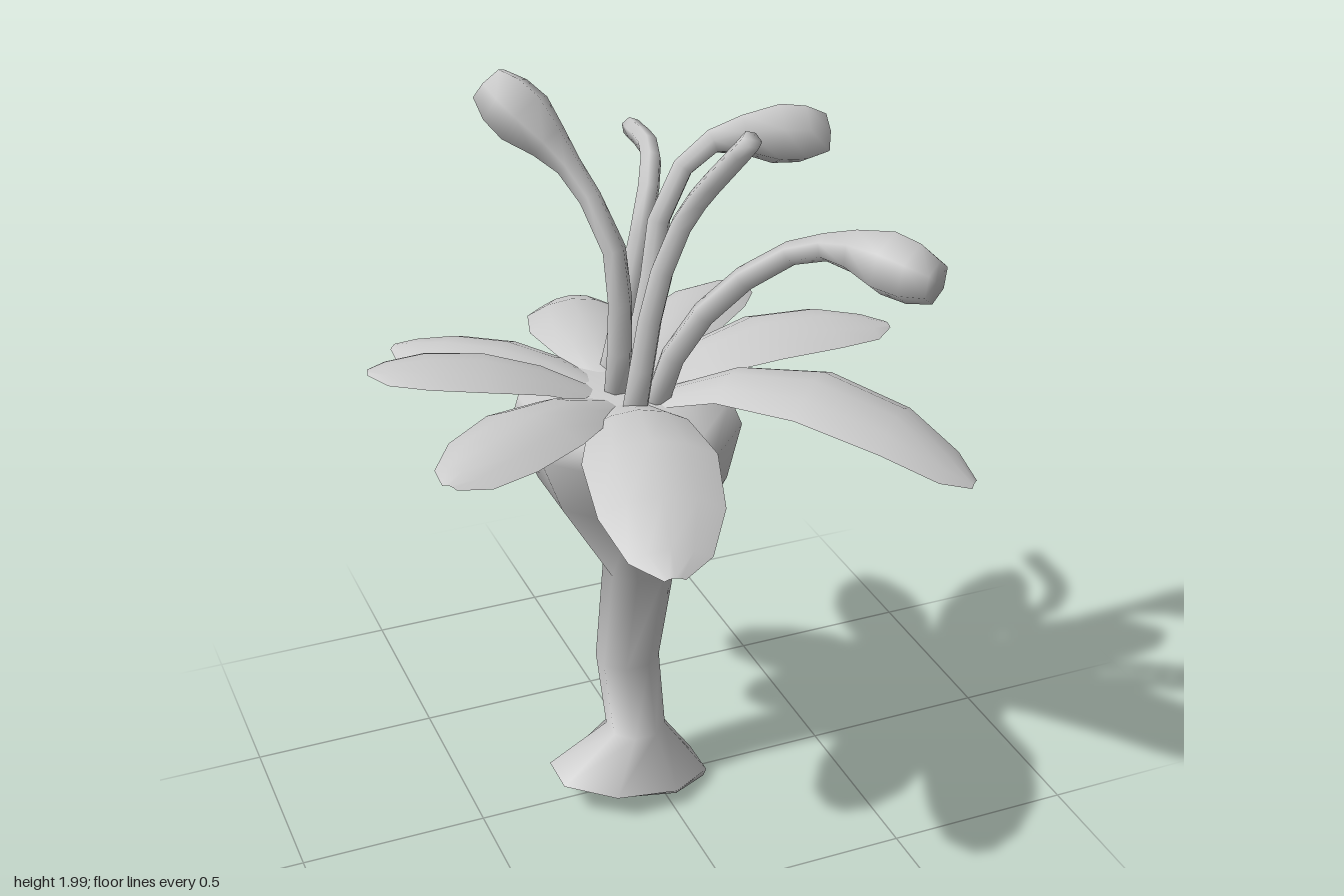
import * as THREE from 'three';

const grey = new THREE.MeshStandardMaterial({ color: 0xcccccc });
const greyThin = new THREE.MeshStandardMaterial({ color: 0xcccccc, side: THREE.DoubleSide });
const V = (x, y, z) => new THREE.Vector3(x, y, z);

// Smooth surface through rows of points; closed rows wrap round
function skin(rows, closed) {
  const n = rows[0].length, index = [];
  for (let i = 0; i < rows.length - 1; i++) {
    for (let j = 0; j < (closed ? n : n - 1); j++) {
      const k = (j + 1) % n;
      const a = i * n + j, b = i * n + k, c = a + n, d = b + n;
      index.push(a, b, d, a, d, c);
    }
  }
  const g = new THREE.BufferGeometry().setFromPoints(rows.flat());
  g.setIndex(index);
  g.computeVertexNormals();
  return g;
}

// Ring of points round a centre, spanned by two directions
const ring = (c, u, v, sides, turn = 0) => Array.from({ length: sides }, (_, j) => {
  const a = ((j + turn) / sides) * Math.PI * 2;
  return c.clone().addScaledVector(u, Math.cos(a)).addScaledVector(v, Math.sin(a));
});

// Eight-sided body from [centre x, y, centre z, radius x, radius z, slope]
function body(sections) {
  const rows = sections.map(([x, y, z, rx, rz, slope = 0]) =>
    ring(V(x, y, z), V(rx, slope * rx, 0).multiplyScalar(1.08), V(0, 0, -rz * 1.08), 8, 0.5));
  const cap = ([x, y, z]) => Array(8).fill(V(x, y, z));
  return skin([cap(sections[0]), ...rows, cap(sections.at(-1))], true);
}

// Stamen along a curve, tapering plainly or swelling into a bulb near the tip
function stamen(points, bulb) {
  const curve = new THREE.CatmullRomCurve3(points.map((p) => V(...p)));
  const stations = [0, 0.15, 0.3, 0.45, 0.6, 0.7, 0.78, 0.87, 0.94, 1];
  const swell = [0, 0, 0, 0, 0, 0.005, 0.025, 0.053, 0.05, 0.028];
  const u = V(1, 0, 0);
  const rows = stations.map((t, i) => {
    const dir = curve.getTangentAt(t);
    u.addScaledVector(dir, -u.dot(dir)).normalize();
    const r = 0.035 - 0.009 * t + (bulb ? swell[i] : 0);
    return ring(curve.getPointAt(t), u.clone().multiplyScalar(r), dir.cross(u).multiplyScalar(r), 6);
  });
  const cap = (t) => Array(6).fill(curve.getPointAt(t));
  return skin([cap(0), ...rows, cap(1)], true);
}

// Arched petal from the flower centre to its tip
function petal(tipX, tipY, tipZ, halfWidth, lift, bend) {
  const tip = V(tipX, tipY, tipZ), base = V(-0.05, 1.19, -0.08);
  const dir = tip.clone().sub(base).setY(0).normalize();
  const side = dir.clone().cross(V(0, 1, 0));
  base.addScaledVector(dir, 0.06);
  const widths = [0.4, 0.75, 1, 0.92, 0.6, 0.15];
  const rows = [0, 0.25, 0.5, 0.75, 0.92, 1].map((t, i) => {
    const arch = 4 * t * (1 - t), w = widths[i] * halfWidth;
    const c = base.clone().lerp(tip, t).addScaledVector(side, bend * arch);
    return [-1, -0.55, 0, 0.55, 1].map((s) =>
      c.clone().addScaledVector(side, s * w).add(V(0, lift * arch - 0.3 * w * s * s, 0)));
  });
  return skin(rows, false);
}

export function createModel() {
  const model = new THREE.Group();
  const add = (name, geometry, material = grey) => {
    const m = new THREE.Mesh(geometry, material);
    m.name = name;
    model.add(m);
  };

  // Foot, stem and cup in one skin
  add('stemAndCup', body([
    [-0.06, 0.045, 0, 0.19, 0.12, -0.19],
    [-0.075, 0.065, 0, 0.21, 0.14, -0.14],
    [-0.04, 0.18, -0.035, 0.075, 0.075],
    [-0.055, 0.4, -0.055, 0.08, 0.075],
    [-0.02, 0.68, -0.055, 0.09, 0.085],
    [-0.02, 0.92, -0.1, 0.23, 0.23],
    [-0.04, 1.09, -0.09, 0.275, 0.285],
    [-0.045, 1.165, -0.09, 0.25, 0.27],
    [-0.05, 1.2, -0.09, 0.14, 0.15],
  ]));

  // Petals: tip position, half width, lift, sideways bend
  [
    [0.68, 1.27, -0.04, 0.135, 0.07, -0.04],
    [0.47, 1.23, -0.52, 0.115, 0.055, -0.02],
    [0.03, 1.19, -0.68, 0.135, 0.07, -0.04],
    [-0.53, 1.21, -0.52, 0.125, 0.05, 0],
    [-0.68, 1.3, -0.22, 0.115, 0.06, 0],
    [-0.65, 1.27, 0.36, 0.14, 0.07, 0],
    [-0.22, 1.1, 0.67, 0.165, 0.12, 0],
    [0.61, 1.12, 0.57, 0.145, 0.14, -0.04],
  ].forEach((p, i) => add('petal' + (i + 1), petal(...p), greyThin));

  // Stamens with swollen tips
  add('stamenRight', stamen([[-0.07, 1.18, -0.08], [-0.07, 1.4, -0.05], [-0.085, 1.6, -0.05], [-0.16, 1.79, -0.16], [-0.3, 1.96, -0.33]], true));
  add('stamenLeft', stamen([[-0.02, 1.18, -0.11], [0.06, 1.47, -0.155], [0.1, 1.66, -0.17], [0.22, 1.79, -0.17], [0.515, 1.79, -0.12]], true));
  add('stamenFront', stamen([[0, 1.18, 0.01], [0.06, 1.38, 0.05], [0.22, 1.61, 0.19], [0.32, 1.69, 0.33], [0.47, 1.67, 0.56]], true));

  // Stamens with plain ends
  add('plainStamenFront', stamen([[-0.07, 1.18, 0.04], [-0.01, 1.53, 0.05], [0.05, 1.7, 0.07], [0.135, 1.96, 0.265]], false));
  add('plainStamenBack', stamen([[-0.04, 1.18, -0.2], [0.06, 1.5, -0.255], [0.1, 1.65, -0.28], [0.14, 1.71, -0.37], [0.17, 1.7, -0.58]], false));

  return model;
}
